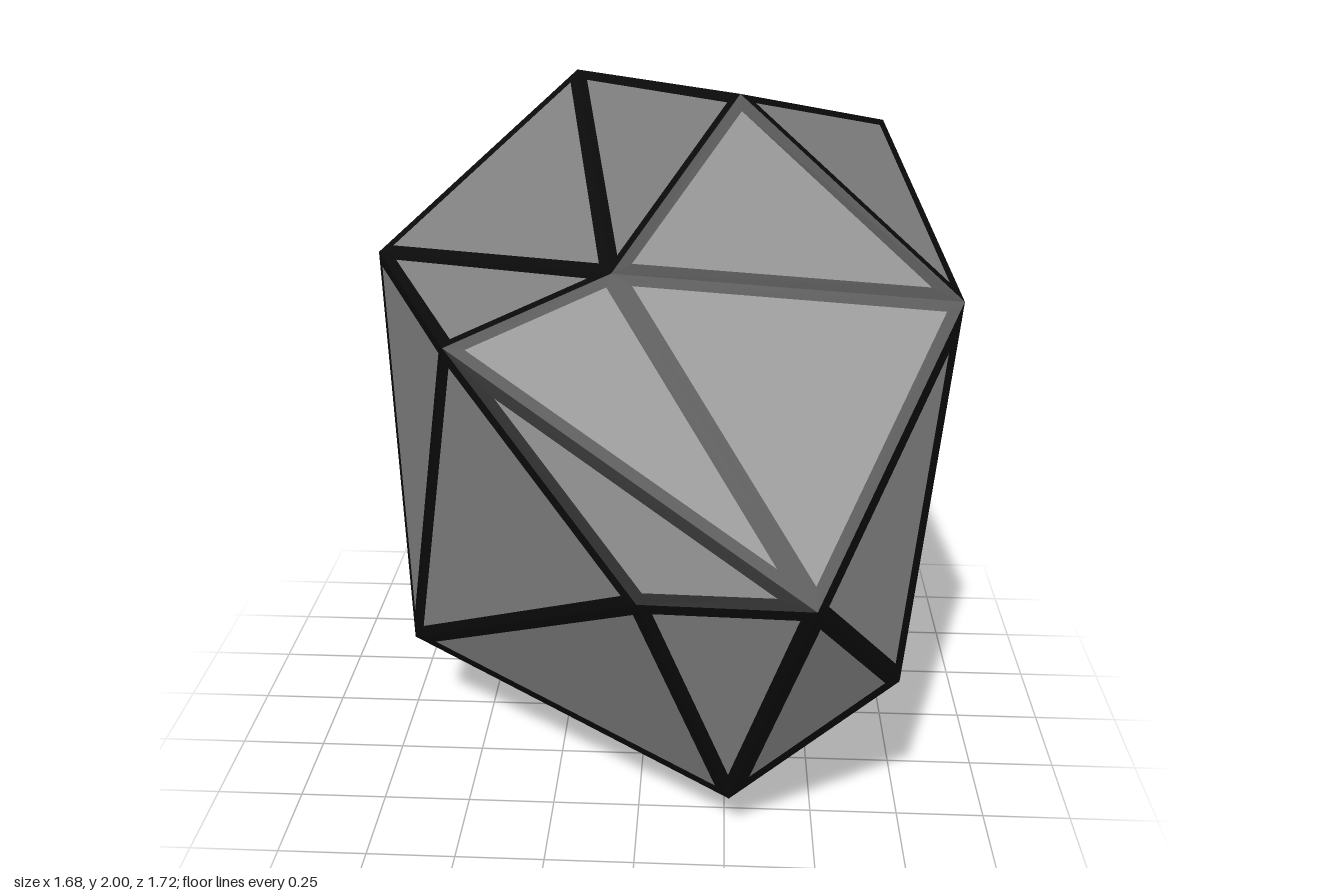
import * as THREE from 'three';

// Corners of the rock
const P = {
  A: [-0.25, 1.93, -0.64], B: [0.25, 2.0, 0.13], C: [0.69, 1.82, -0.45], D: [0.83, 1.53, 0.4],
  E: [-0.08, 1.56, 0.3], F: [-0.84, 1.43, -0.3], G: [-0.52, 1.38, 0.4], H: [0.46, 0.88, 0.86],
  I: [0.01, 0.83, 0.76], J: [0.84, 0.94, -0.29], K: [0.7, 0.57, 0.68], L: [0.26, 0.15, 0.65],
  M: [-0.71, 0.33, 0.14], N: [-0.2, 0, 0.08], Q: [-0.2, 1.7, -0.86], R: [0.42, 1.0, -0.61],
  S: [0.32, 0.39, -0.67], T: [-0.5, 0.27, -0.73], V: [-0.6, 1.48, -0.7], W: [-0.75, 0.48, -0.63],
};

// Fans of facets: first letter is the hub, the rest its ring of neighbours
const FANS = [
  'EABDHGFA', 'JCDKLSRC', 'TNMWRSN', 'VAFWRQA', 'IGHLMG', // full rings
  'CDBAQR', 'LSNM', 'MGFW', 'HDKL', // open fans filling the gaps
];

const SEAM = 0.03; // half width of the dark band along each edge
const CENTRE = new THREE.Vector3(0, 1, 0);

// Corners of one facet, ordered so that it faces outward
function facet(names) {
  const [a, b, c] = names.map((n) => new THREE.Vector3(...P[n]));
  const normal = b.clone().sub(a).cross(c.clone().sub(a));
  return normal.dot(a.clone().sub(CENTRE)) > 0 ? [a, b, c] : [a, c, b];
}

// Facet shrunk by an even distance from its three edges
function inset([a, b, c]) {
  const la = b.distanceTo(c), lb = c.distanceTo(a), lc = a.distanceTo(b), sum = la + lb + lc;
  const incentre = new THREE.Vector3()
    .addScaledVector(a, la / sum).addScaledVector(b, lb / sum).addScaledVector(c, lc / sum);
  const radius = b.clone().sub(a).cross(c.clone().sub(a)).length() / sum;
  return [a, b, c].map((v) => v.clone().lerp(incentre, Math.min(0.8, SEAM / radius)));
}

function flatMesh(name, points, color) {
  const geometry = new THREE.BufferGeometry().setFromPoints(points);
  geometry.computeVertexNormals();
  const mesh = new THREE.Mesh(geometry, new THREE.MeshStandardMaterial({ color, flatShading: true }));
  mesh.name = name;
  return mesh;
}

export function createModel() {
  const faces = [], seams = [];
  for (const [hub, ...ring] of FANS) {
    for (let i = 0; i + 1 < ring.length; i++) {
      const outer = facet([hub, ring[i], ring[i + 1]]);
      const inner = inset(outer);
      faces.push(...inner);
      // Dark border between the facet's edges and its inset
      for (let k = 0; k < 3; k++) {
        const n = (k + 1) % 3;
        seams.push(outer[k], outer[n], inner[n], outer[k], inner[n], inner[k]);
      }
    }
  }
  const rock = new THREE.Group();
  rock.name = 'rock';
  rock.add(flatMesh('rockFaces', faces, 0x808080), flatMesh('edgeBands', seams, 0x0a0a0a));
  return rock;
}
